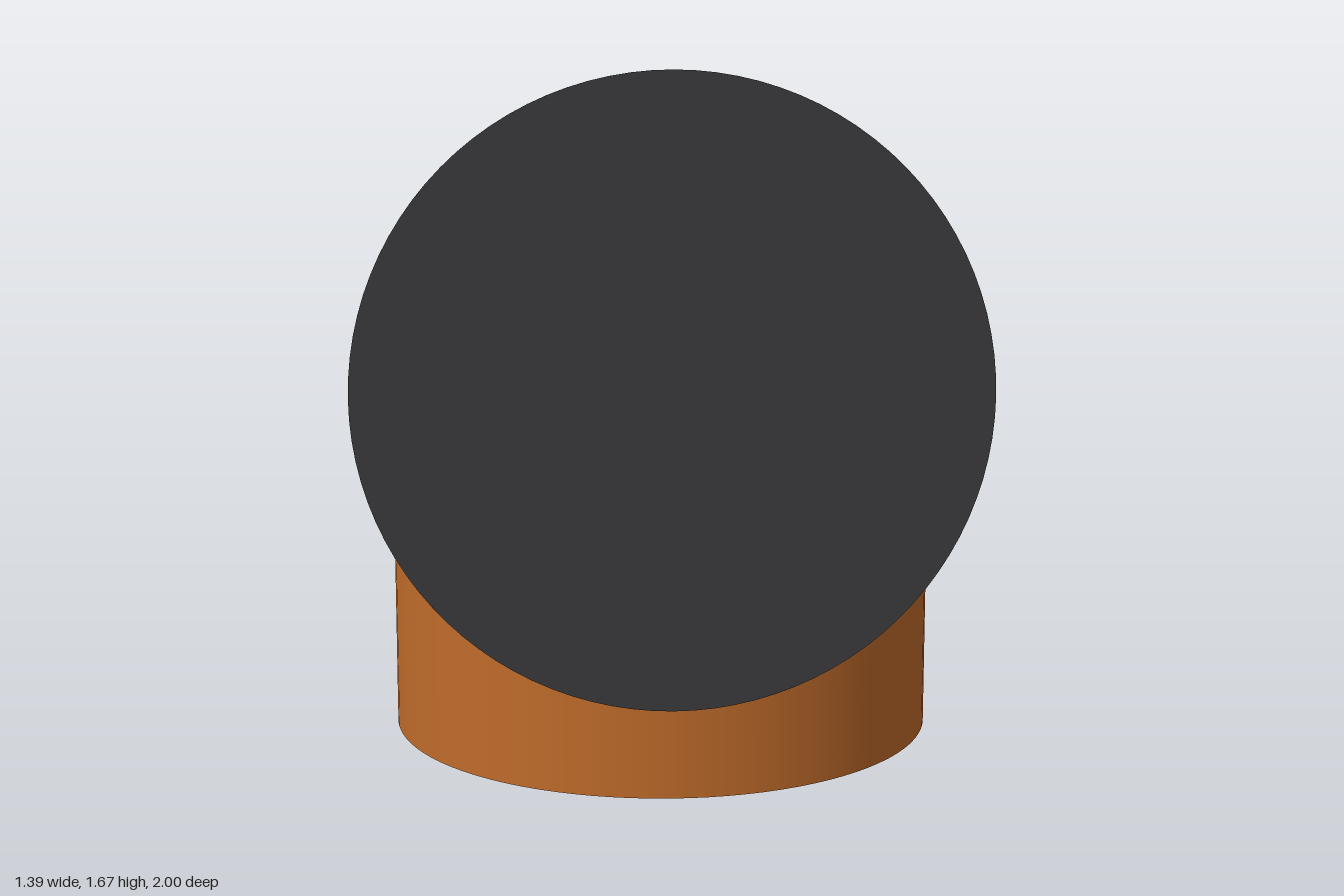
import * as THREE from 'three';
import { ParametricGeometry } from 'three/addons/geometries/ParametricGeometry.js';

const R = 0.693;          // radius shared by barrel and stem
const AXIS_Y = 0.975;     // height of the barrel axis
const STEM_Z = 0.075;
const SEG = 96;

export function createModel() {
  const model = new THREE.Group();
  const orange = new THREE.MeshStandardMaterial({ color: 0xbf6b2a });
  const dark = new THREE.MeshStandardMaterial({ color: 0x3a3a3c });

  const add = (name, geometry, material, y, z, parent = model) => {
    const mesh = new THREE.Mesh(geometry, material);
    mesh.name = name;
    mesh.position.set(0, y, z);
    parent.add(mesh);
    return mesh;
  };

  // slanted seam between barrel and rear cap, y measured from the axis
  const seamZ = (y) => -0.605 + 0.267 * y;
  // edge rounding of the rear cap grows from bottom to top
  const fillet = (a) => 0.07 + 0.04 * Math.sin(a);

  // wall swept round the barrel axis: profile(a, v) gives [radius, z]
  const sweep = (profile, stacks) => new ParametricGeometry((u, v, p) => {
    const a = -u * Math.PI * 2;
    const [r, z] = profile(a, v);
    p.set(r * Math.cos(a), r * Math.sin(a), z);
  }, SEG, stacks);

  // barrel
  add('barrel', sweep((a, v) => [R, THREE.MathUtils.lerp(0.82, seamZ(R * Math.sin(a)), v)], 1),
    orange, AXIS_Y, 0);

  // front cap
  const frontCap = new THREE.Group();
  frontCap.name = 'frontCap';
  model.add(frontCap);
  add('frontCapWall', sweep((a, v) => [R, 1 - 0.18 * v], 1), dark, AXIS_Y, 0, frontCap);
  add('frontCapFace', new THREE.CircleGeometry(R, SEG), dark, AXIS_Y, 1, frontCap);

  // rear cap: slanted wall, rounded edge and flat end
  const rearCap = new THREE.Group();
  rearCap.name = 'rearCap';
  model.add(rearCap);
  add('rearCapWall', sweep((a, v) =>
    [R, THREE.MathUtils.lerp(seamZ(R * Math.sin(a)), -1 + fillet(a), v)], 1), dark, AXIS_Y, 0, rearCap);
  add('rearCapEdge', sweep((a, v) => {
    const f = fillet(a), t = v * Math.PI / 2;
    return [R - f + f * Math.cos(t), -1 + f - f * Math.sin(t)];
  }, 10), dark, AXIS_Y, 0, rearCap);
  const outline = [];
  for (let i = 0; i < SEG; i++) {
    const a = (i / SEG) * Math.PI * 2, r = R - fillet(a);
    outline.push(new THREE.Vector2(r * Math.cos(a), r * Math.sin(a)));
  }
  const rearFace = add('rearCapFace', new THREE.ShapeGeometry(new THREE.Shape(outline)),
    dark, AXIS_Y, -1, rearCap);
  rearFace.rotation.y = Math.PI;

  // stem: upper rim cut to the saddle where it meets the barrel
  const stem = new THREE.CylinderGeometry(R, R, AXIS_Y, SEG, 1, true);
  stem.translate(0, AXIS_Y / 2, 0);
  const pos = stem.attributes.position;
  for (let i = 0; i < pos.count; i++) {
    if (pos.getY(i) > 0.1) pos.setY(i, AXIS_Y - Math.abs(pos.getZ(i)) + 0.004);
  }
  add('stem', stem, orange, 0, STEM_Z);
  add('stemBase', new THREE.CircleGeometry(R, SEG).rotateX(Math.PI / 2), orange, 0, STEM_Z);

  return model;
}
